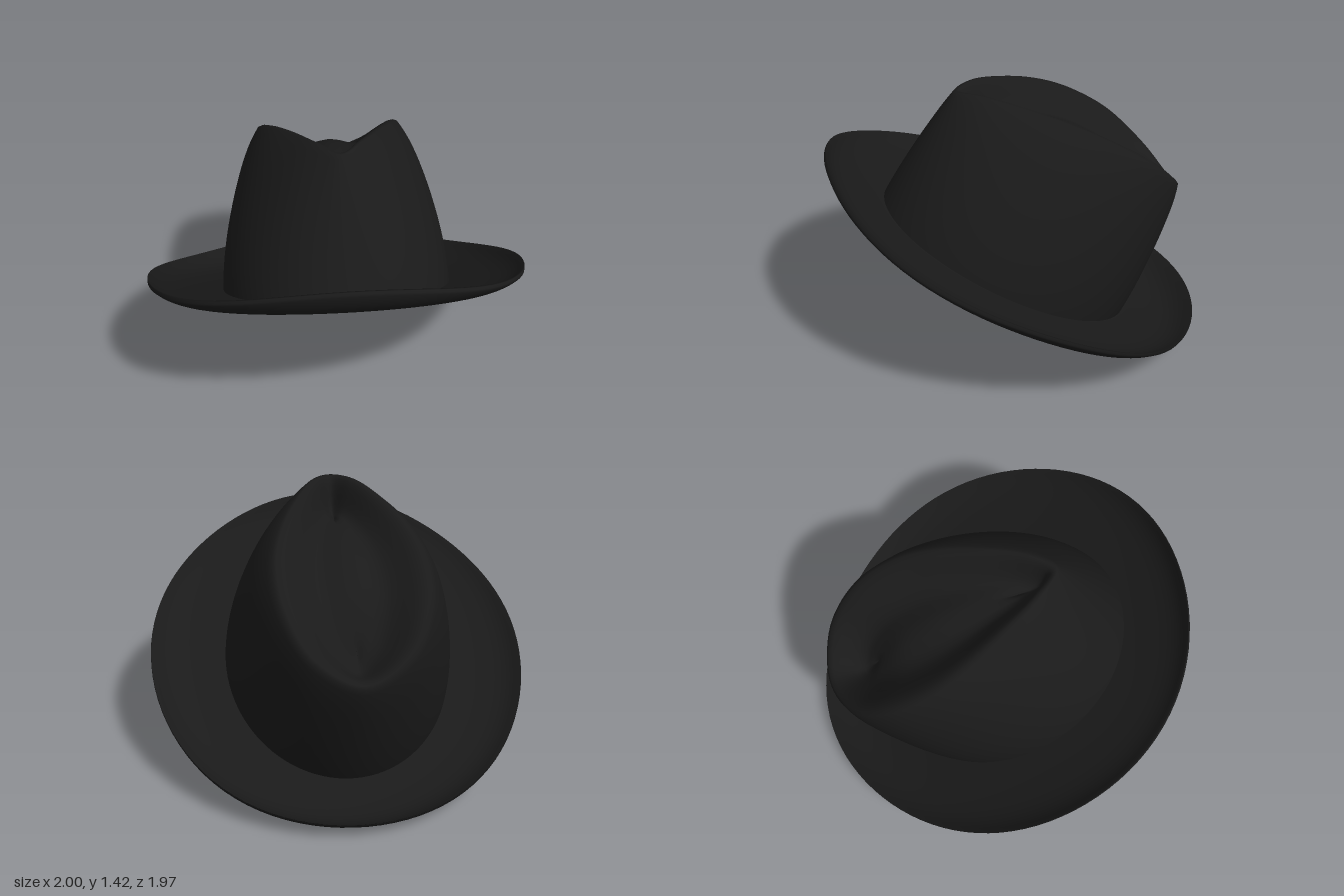
import * as THREE from 'three';
import { mergeVertices } from 'three/addons/utils/BufferGeometryUtils.js';

const SEG = 96;
const V = (x, y, z) => new THREE.Vector3(x, y, z);
const lerp = THREE.MathUtils.lerp;

// Closed smooth surface through rings; each ring is a function of the angle t (0 = front, towards +x)
function loft(rings) {
  const pos = [], index = [];
  rings.forEach((ring, i) => {
    for (let j = 0; j < SEG; j++) {
      pos.push(...ring((j / SEG) * Math.PI * 2).toArray());
      if (i === rings.length - 1) continue;
      const a = i * SEG + j, b = i * SEG + (j + 1) % SEG;
      index.push(a, b, b + SEG, a, b + SEG, a + SEG);
    }
  });
  const g = new THREE.BufferGeometry();
  g.setAttribute('position', new THREE.Float32BufferAttribute(pos, 3));
  g.setIndex(index);
  const merged = mergeVertices(g, 1e-4);
  merged.computeVertexNormals();
  return merged;
}

// Teardrop ridge around the top of the crown, front to back, mirrored
const half = [
  [0, 0.72, 0.795], [0.11, 0.775, 0.705], [0.23, 0.836, 0.5], [0.325, 0.875, 0.28],
  [0.375, 0.888, 0.06], [0.36, 0.873, -0.2], [0.24, 0.805, -0.455], [0, 0.745, -0.58],
];
const ridgePoints = [
  ...half.map(p => V(...p)),
  ...half.slice(1, -1).reverse().map(([x, y, z]) => V(-x, y, z)),
];
const ridgeCurve = new THREE.CatmullRomCurve3(ridgePoints, true, 'centripetal');
const ridge = t => ridgeCurve.getPoint((t / (Math.PI * 2)) % 1);

// Head opening and outer brim edge
const CENTRE = 0.088;
const base = t => V(0.61 * Math.sin(t), 0, CENTRE + 0.75 * Math.cos(t));
const brimEdge = t => V(Math.sin(t),
  0.1175 - 0.045 * Math.cos(t) + 0.025 * Math.cos(2 * t) + 0.0175 * Math.cos(4 * t),
  0.105 + 1.105 * Math.cos(t));

// Brim surface, s from opening (0) to edge (1), curling up near the edge
function brim(t, s, lift) {
  const e = brimEdge(t), p = base(t).lerp(e, s);
  p.y = e.y * (0.4 * Math.pow(s, 1.4) + 0.6 * Math.pow(s, 6)) + lift;
  return p;
}

// Crown wall, h from brim (0) to ridge (1), rounding over at the shoulder
function wall(t, h) {
  const r = ridge(t);
  const p = base(t).lerp(r, 0.84 * Math.pow(h, 1.7) + 0.16 * Math.pow(h, 10));
  p.y = lerp(0.01, r.y, h);
  return p;
}

// Dent inside the ridge, rising to a low hump along a central spine
function dent(t, q, drop) {
  const r = ridge(t);
  return V(r.x * (1 - q), r.y + drop, lerp(r.z, 0.1 + (r.z - 0.1) * 0.6, q));
}
const dentProfile = [
  [0.06, 0.008], [0.14, 0.003], [0.24, -0.018], [0.36, -0.055],
  [0.48, -0.09], [0.6, -0.108], [0.72, -0.105], [0.86, -0.09], [1, -0.082],
];

// Slightly smaller copy of a crown point for the inside
function inside(p, k, down) {
  return V(p.x * k, p.y - down, CENTRE + (p.z - CENTRE) * k);
}

export function createModel() {
  const felt = new THREE.MeshStandardMaterial({ color: 0x1a1a1a });
  felt.name = 'blackFelt';
  const leather = new THREE.MeshStandardMaterial({ color: 0x171717, side: THREE.DoubleSide });
  leather.name = 'darkSweatband';
  const satin = new THREE.MeshStandardMaterial({ color: 0xbab3b0, side: THREE.DoubleSide });
  satin.name = 'paleSatin';

  const hat = new THREE.Group();
  hat.name = 'hat';
  const add = (name, rings, material) => {
    const mesh = new THREE.Mesh(loft(rings), material);
    mesh.name = name;
    hat.add(mesh);
  };

  // Brim: inner lip, underside, rounded edge, upper side tucked under the crown
  const steps = Array.from({ length: 17 }, (_, i) => i / 16);
  add('brim', [
    t => inside(base(t), 0.955, -0.05),
    t => inside(base(t), 0.972, -0.014),
    ...steps.map(s => t => brim(t, s, 0)),
    t => brim(t, 1.006, 0.008),
    t => brim(t, 1.004, 0.02),
    ...steps.slice().reverse().map(s => t => brim(t, s, 0.027)),
    t => inside(base(t), 0.975, -0.027),
  ], felt);

  // Crown: wall rising to the ridge, then the dent
  add('crown', [
    ...Array.from({ length: 25 }, (_, i) => t => wall(t, i / 24)),
    ...dentProfile.map(([q, d]) => t => dent(t, q, d)),
  ], felt);

  // Sweatband inside the opening
  const bandTop = t => 0.415 - 0.05 * Math.cos(t) + 0.008 * Math.sin(7 * t);
  add('sweatband', [0, 0.25, 0.5, 0.75, 1].map(k =>
    t => inside(wall(t, k * bandTop(t)), 0.965 - 0.015 * k, 0.02 * k)), leather);

  // Lining with soft folds, from the sweatband over the inside of the crown
  const fold = t => 0.012 * Math.sin(5 * t + 1) + 0.008 * Math.sin(11 * t);
  add('lining', [
    ...Array.from({ length: 11 }, (_, i) => t => {
      const k = i / 10, h = lerp(bandTop(t) - 0.03, 1, k);
      return inside(wall(t, h), 0.945 + fold(t) * Math.sin(Math.PI * k), 0.03 + 0.04 * k);
    }),
    ...dentProfile.map(([q, d]) => t =>
      inside(dent(t, q, d), Math.min(1, 0.95 + 0.1 * q), 0.072)),
  ], satin);

  // Tip the hat back so the front of the brim is raised
  hat.rotation.x = -Math.PI / 6;
  hat.position.y = 0.385;
  const model = new THREE.Group();
  model.name = 'tiltedHat';
  model.add(hat);
  return model;
}
